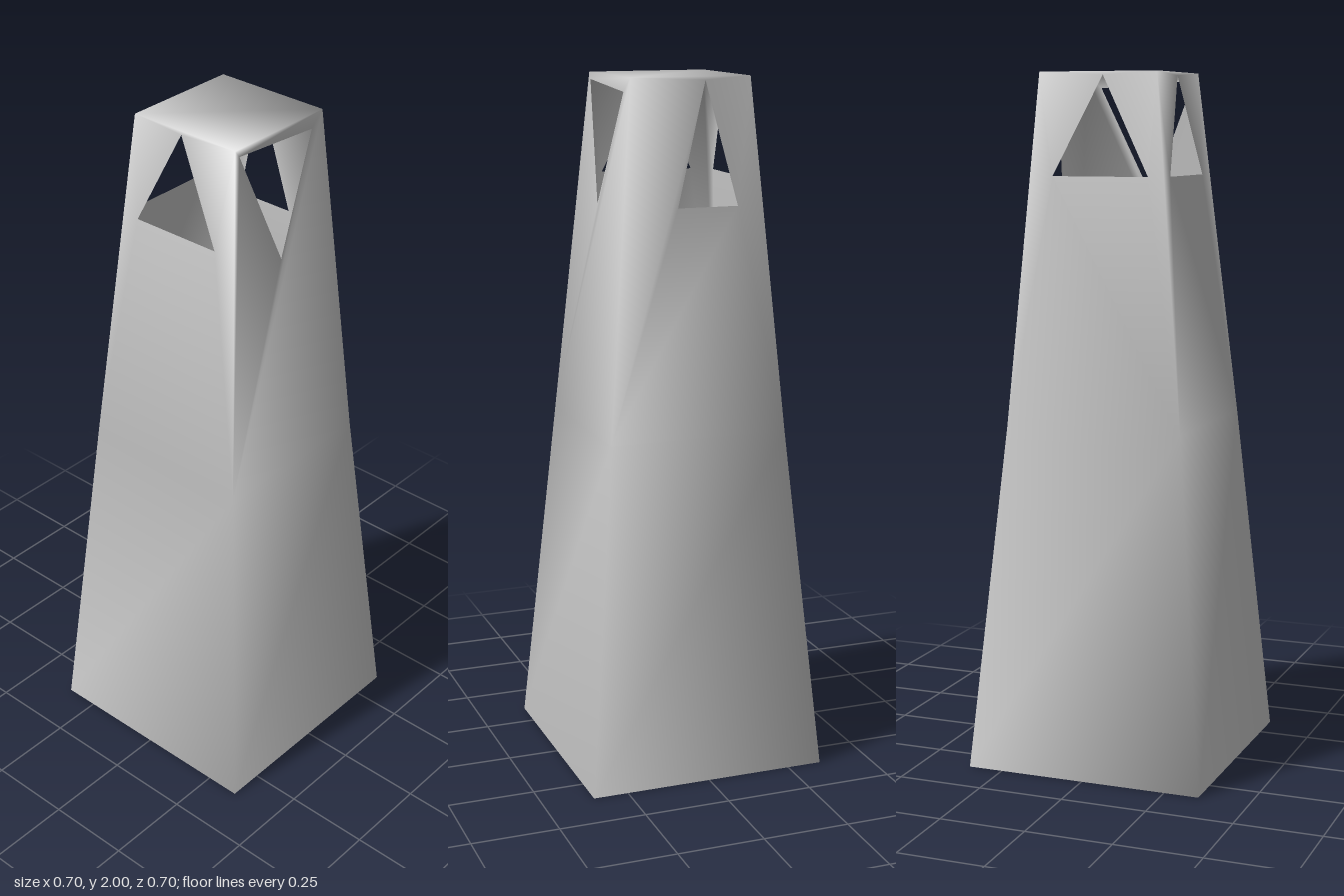
import * as THREE from 'three';

// Corner rings from base to top, each running counter-clockwise seen from above
const ring = (y, x0, x1, z0, z1) => [[x0, y, z1], [x1, y, z1], [x1, y, z0], [x0, y, z0]]
  .map((p) => new THREE.Vector3(...p));
const RINGS = [
  ring(0, -0.352, 0.352, -0.352, 0.352),
  ring(1, -0.262, 0.262, -0.262, 0.262),
  ring(2, -0.175, 0.177, -0.192, 0.16),
];

// Triangular window of each wall as (across, height), seen from outside
const WINDOWS = [
  [[-0.147, 1.71], [0.132, 1.71], [-0.008, 1.99]],  // front
  [[-0.145, 1.98], [-0.005, 1.64], [0.145, 1.96]],  // +x side
  [[-0.048, 1.645], [0.13, 1.645], [0.041, 1.99]],  // back
  [[-0.143, 1.71], [0.143, 1.71], [0, 1.99]],       // -x side
];

// Unit direction pointing across wall k, and its outward direction
const across = (k) => [[1, 0, 0], [0, 0, -1], [-1, 0, 0], [0, 0, 1]].map((a) => new THREE.Vector3(...a))[k];
const outward = (k) => across((k + 3) % 4);

export function createModel() {
  const points = RINGS.flat();
  const index = [];

  for (let k = 0; k < 4; k++) {
    const n = (k + 1) % 4;
    const u = across(k), out = outward(k);

    // Lower wall
    index.push(k, n, 4 + n, k, 4 + n, 4 + k);

    // Upper wall, pierced by its window
    const outer = [4 + k, 4 + n, 8 + n, 8 + k];
    const contour = outer.map((i) => new THREE.Vector2(points[i].dot(u), points[i].y));
    const hole = WINDOWS[k].map((p) => new THREE.Vector2(...p));
    const ids = [...outer];
    const midDepth = RINGS[1][k].dot(out), topDepth = RINGS[2][k].dot(out);
    for (const p of hole) {
      const depth = THREE.MathUtils.lerp(midDepth, topDepth, p.y - 1);
      ids.push(points.length);
      points.push(new THREE.Vector3(0, p.y, 0).addScaledVector(u, p.x).addScaledVector(out, depth));
    }
    for (const t of THREE.ShapeUtils.triangulateShape(contour, [hole])) {
      index.push(...t.map((i) => ids[i]));
    }
  }

  // Flat cap; the base stays open
  index.push(8, 9, 10, 8, 10, 11);

  const geometry = new THREE.BufferGeometry().setFromPoints(points);
  geometry.setIndex(index);
  geometry.computeVertexNormals();

  const shell = new THREE.Mesh(geometry, new THREE.MeshStandardMaterial({
    color: 0xcccccc, side: THREE.DoubleSide,
  }));
  shell.name = 'towerShell';

  const group = new THREE.Group();
  group.name = 'taperedTower';
  group.add(shell);
  return group;
}
